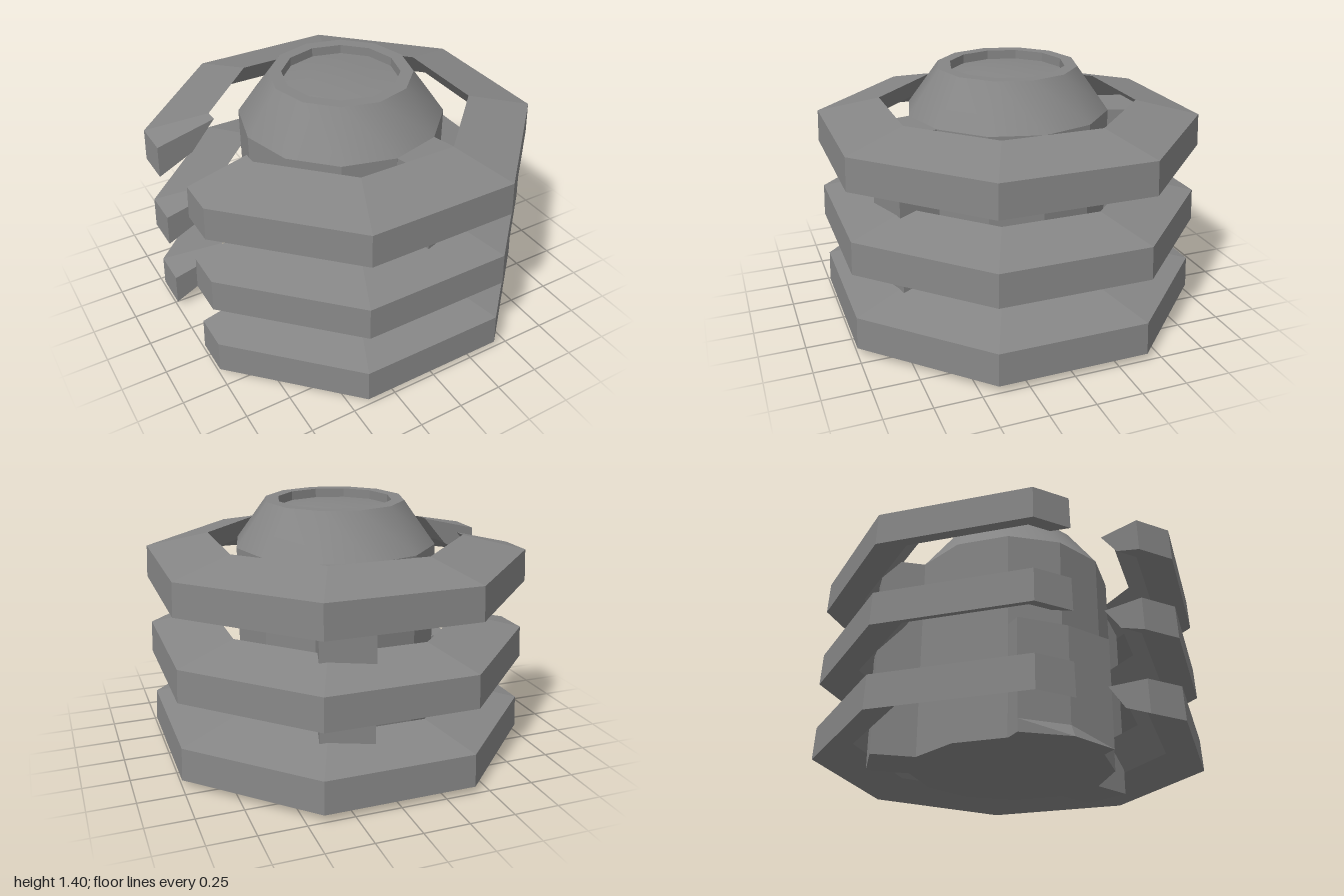
import * as THREE from 'three';
import { toCreasedNormals } from 'three/addons/utils/BufferGeometryUtils.js';

const material = new THREE.MeshStandardMaterial({ color: 0x868686 });

// Closed flat-faced solid through a row of convex cross-sections, faces turned outwards
function loft(sections) {
  const tris = [], n = sections[0].length;
  for (let s = 0; s < sections.length - 1; s++) {
    const a = sections[s], b = sections[s + 1];
    for (let i = 0; i < n; i++) {
      const j = (i + 1) % n;
      tris.push([a[i], a[j], b[j]], [a[i], b[j], b[i]]);
    }
  }
  const first = sections[0], last = sections[sections.length - 1];
  for (let i = 1; i < n - 1; i++) {
    tris.push([first[0], first[i + 1], first[i]], [last[0], last[i], last[i + 1]]);
  }
  const cross = new THREE.Vector3();
  const centre = first[0];
  let volume = 0;
  for (const [a, b, c] of tris) {
    cross.crossVectors(b.clone().sub(centre), c.clone().sub(centre));
    volume += a.clone().sub(centre).dot(cross);
  }
  const points = tris.flatMap(([a, b, c]) => (volume < 0 ? [a, c, b] : [a, b, c]));
  const geometry = new THREE.BufferGeometry().setFromPoints(points);
  geometry.computeVertexNormals();
  return geometry;
}

// Octagonal ring, open on the -x side; section is [apothem, height]
function ringGeometry() {
  const section = [[0.665, 0.3], [0.992, 0.22], [1, 0.04], [0.805, 0.135]];
  const gap = 0.205;
  const end = (z) => section.map(([r, y]) => new THREE.Vector3(-r, y, z));
  const stations = [end(gap)];
  for (let k = 0; k < 8; k++) {
    const a = Math.PI * (7 / 8 - k / 4);
    const grow = 1 / Math.cos(Math.PI / 8);
    stations.push(section.map(([r, y]) =>
      new THREE.Vector3(Math.cos(a) * r * grow, y, Math.sin(a) * r * grow)));
  }
  stations.push(end(-gap));
  return loft(stations);
}

// Outline of [x, z] placed at one height
const level = (outline, y) => outline.map(([x, z]) => new THREE.Vector3(x, y, z));

export function createModel() {
  const model = new THREE.Group();
  const add = (name, geometry) => {
    const mesh = new THREE.Mesh(geometry, material);
    mesh.name = name;
    model.add(mesh);
    return mesh;
  };

  // Twelve-sided core: flat sides, smooth tapered shoulder, rim and dished top
  const profile = [
    [0, 0], [0.565, 0], [0.565, 1.16], [0.39, 1.4], [0.32, 1.4],
    [0.32, 1.35], [0.175, 1.365], [0, 1.37],
  ].map(([r, y]) => new THREE.Vector2(r, y));
  const core = new THREE.LatheGeometry(profile, 12);
  add('core', toCreasedNormals(core, THREE.MathUtils.degToRad(28)));

  // Three stacked rings
  const ring = ringGeometry();
  [0, 0.439, 0.897].forEach((y, i) => {
    add('ring' + (i + 1), ring).position.y = y;
  });

  // Front and back ribs, pushed straight out from one facet of the core
  for (const side of [1, -1]) {
    const outline = [[0, 0.56], [0.28, 0.485], [0.342, 0.718], [0.062, 0.795]]
      .map(([x, z]) => [x, z * side]);
    add(side > 0 ? 'frontRib' : 'backRib', loft([level(outline, 0), level(outline, 1.16)]));
  }

  // Short rib facing the gap in the rings, flared at its foot
  const sideRib = (nose) =>
    [[-0.45, 0.28], [-0.585, 0.28], [nose, 0], [-0.585, -0.28], [-0.45, -0.28]];
  add('sideRib', loft([
    level(sideRib(-0.66), 0),
    level(sideRib(-0.625), 0.07),
    level(sideRib(-0.625), 0.62),
  ]));

  return model;
}
